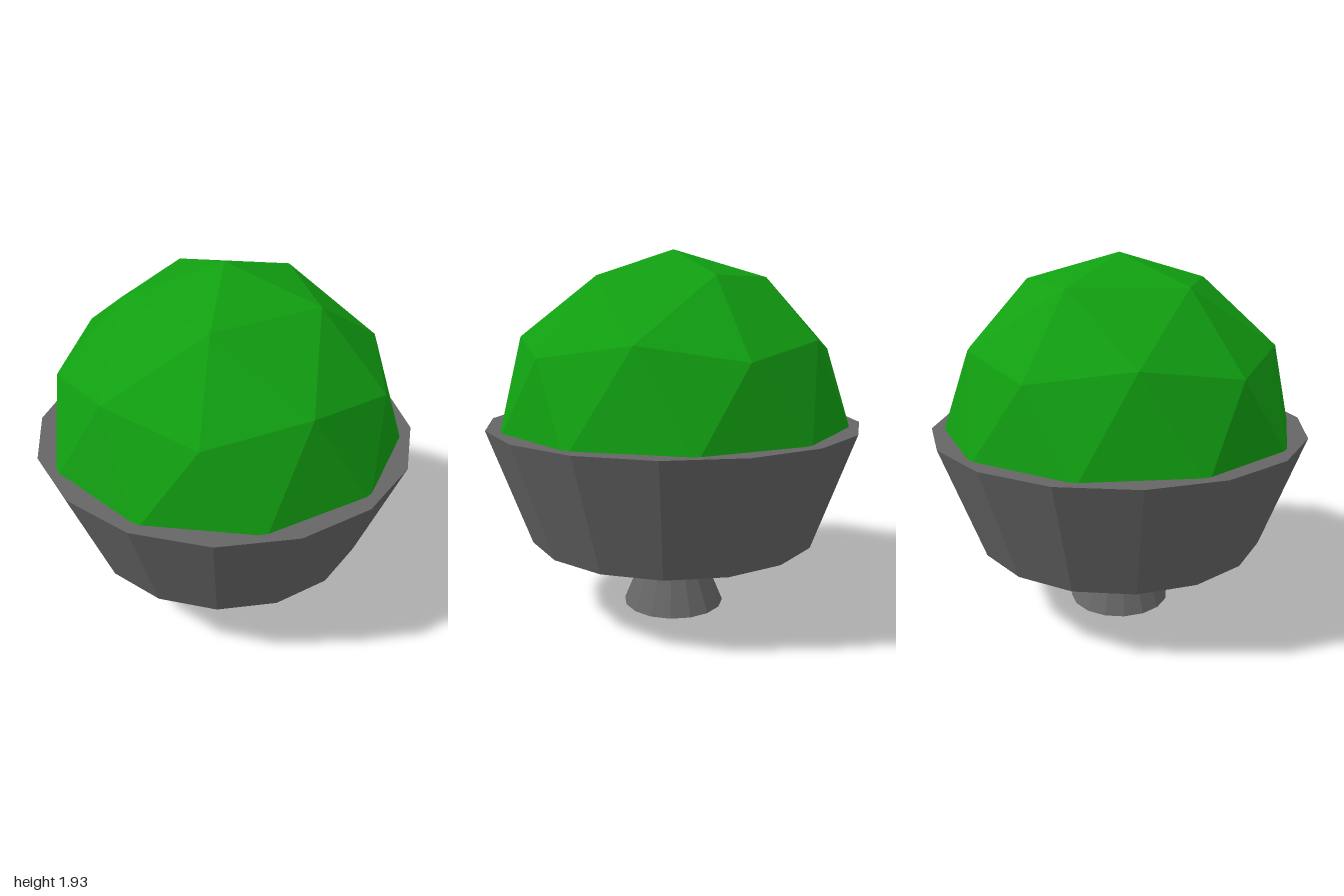
import * as THREE from 'three';

const RADIUS = 0.945, CENTRE_Y = 0.99;

// Faceted dome: the upper half of a once-divided icosahedron with a corner at the top
function domeGeometry() {
  const ball = new THREE.IcosahedronGeometry(RADIUS, 1);
  ball.rotateZ(-Math.atan(2 / (1 + Math.sqrt(5))));
  const p = ball.attributes.position;
  const kept = [];
  for (let i = 0; i < p.count; i += 3) {
    if (p.getY(i) + p.getY(i + 1) + p.getY(i + 2) < 0) continue;
    for (let j = i; j < i + 3; j++) kept.push(p.getX(j), p.getY(j), p.getZ(j));
  }
  const dome = new THREE.BufferGeometry();
  dome.setAttribute('position', new THREE.Float32BufferAttribute(kept, 3));
  dome.computeVertexNormals();
  return dome;
}

export function createModel() {
  const group = new THREE.Group();
  const stone = new THREE.MeshStandardMaterial({ color: 0x666666, flatShading: true });
  const leaf = new THREE.MeshStandardMaterial({ color: 0x11a011, flatShading: true });

  // Sixteen-sided planter: foot, flared bowl and flat top
  const profile = [[0, 0], [0.277, 0], [0.197, 0.19], [0.78, 0.42], [1, 1.03], [0, 1.03]]
    .map(([r, y]) => new THREE.Vector2(r, y));
  const planter = new THREE.Mesh(new THREE.LatheGeometry(profile, 16), stone);
  planter.name = 'planter';

  // Rounded bush
  const bush = new THREE.Mesh(domeGeometry(), leaf);
  bush.name = 'bush';
  bush.position.y = CENTRE_Y;

  group.add(planter, bush);
  return group;
}
